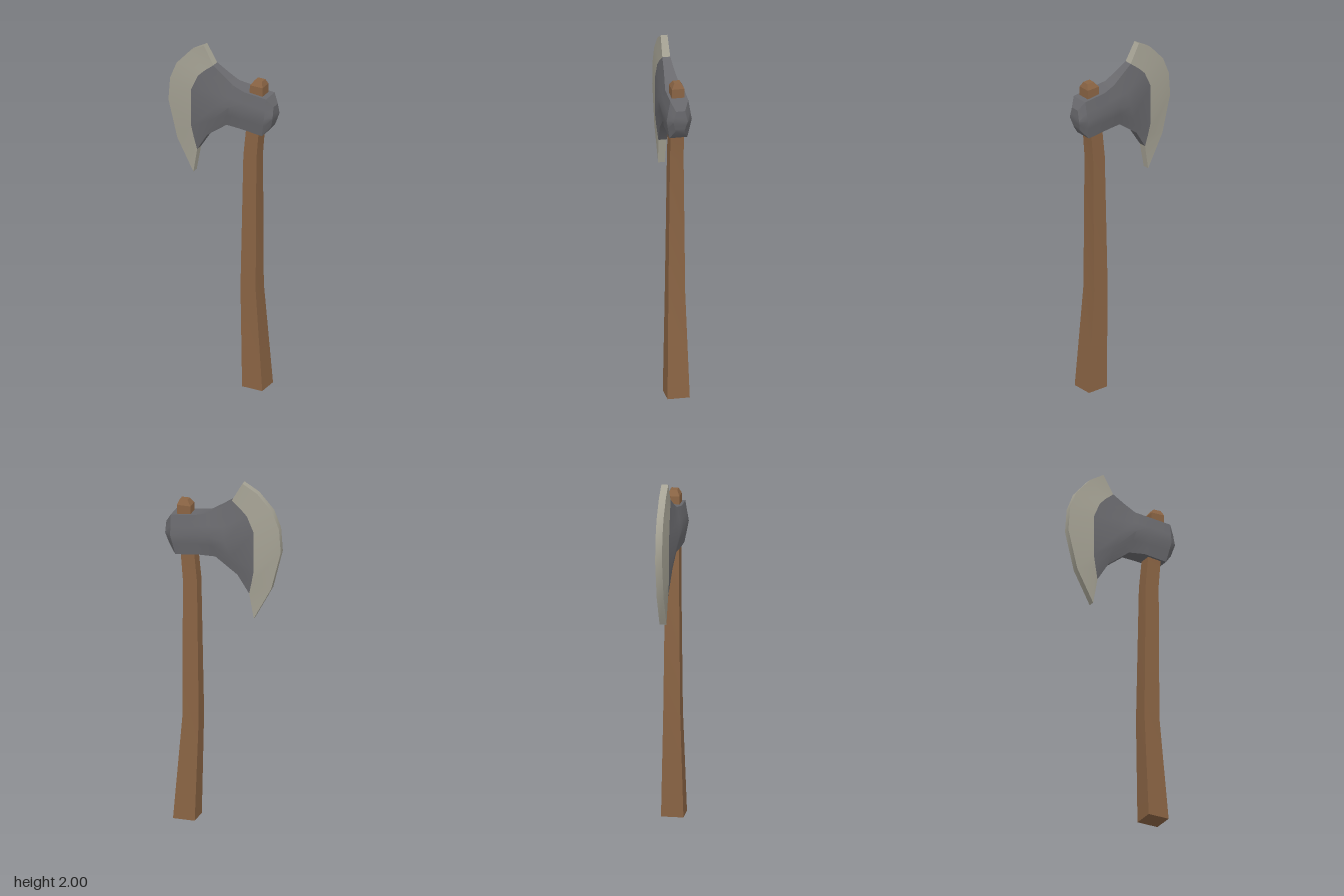
import * as THREE from 'three';
import { toCreasedNormals } from 'three/addons/utils/BufferGeometryUtils.js';

const wood = new THREE.MeshStandardMaterial({ name: 'wood', color: 0x8a6444 });
const steel = new THREE.MeshStandardMaterial({ name: 'darkSteel', color: 0x69696d });
const edge = new THREE.MeshStandardMaterial({ name: 'sharpenedSteel', color: 0xa5a294 });

// Skin a row of rings; each end may be closed with a strip joining its front and back
function loft(rings, capStart, capEnd, crease) {
  const n = rings[0].length, last = (rings.length - 1) * n, index = [];
  const quad = (a, b, c, d) => index.push(a, b, c, a, c, d);
  for (let r = 0; r < last; r += n) {
    for (let i = 0; i < n; i++) {
      const j = (i + 1) % n;
      quad(r + i, r + n + i, r + n + j, r + j);
    }
  }
  for (let i = 0; i < n / 2 - 1; i++) {
    if (capStart) quad(i, i + 1, n - 2 - i, n - 1 - i);
    if (capEnd) quad(last + i, last + n - 1 - i, last + n - 2 - i, last + i + 1);
  }
  const g = new THREE.BufferGeometry();
  g.setAttribute('position', new THREE.Float32BufferAttribute(rings.flat(2), 3));
  g.setIndex(index);
  return toCreasedNormals(g, crease);
}

// Mirror a top-to-bottom list of [x, y, z] into a closed ring
const mirrorRing = (pts) => [...pts, ...pts.map(([x, y, z]) => [x, y, -z]).reverse()];

function part(name, geometry, material) {
  const mesh = new THREE.Mesh(geometry, material);
  mesh.name = name;
  return mesh;
}

export function createModel() {
  const group = new THREE.Group();
  group.name = 'axe';

  // Handle: height, left x, right x, half depth
  const handle = [
    [0, 0.15, 0.275, 0.062], [0.6, 0.132, 0.226, 0.047], [1.4, 0.145, 0.226, 0.038],
    [1.57, 0.162, 0.24, 0.037], [1.78, 0.182, 0.262, 0.036],
    [1.835, 0.184, 0.262, 0.035], [1.865, 0.206, 0.25, 0.019],
  ].map(([y, x0, x1, z]) => mirrorRing([[x1, y, z], [x0, y, z]]));
  group.add(part('handle', loft(handle, true, true, 0.1), wood));

  // Head: top x, y, bottom x, y, half depth at the rims, half depth at the middle
  const rows = [0, 0.14, 0.28, 0.5, 0.72, 0.86, 1];
  const head = [
    [0.325, 1.73, 0.31, 1.605, 0.025, 0.04], [0.292, 1.78, 0.266, 1.55, 0.05, 0.07],
    [0.16, 1.793, 0.13, 1.565, 0.052, 0.07], [0.08, 1.81, 0.04, 1.56, 0.037, 0.067],
    [0.02, 1.848, -0.085, 1.465, 0.029, 0.06],
  ].map(([tx, ty, bx, by, rim, mid]) => mirrorRing(rows.map((t) => {
    const bulge = 1 - Math.abs(2 * t - 1);
    return [tx + (bx - tx) * t + 0.01 * bulge, ty + (by - ty) * t, rim + (mid - rim) * bulge];
  })));

  // Seam where the dark head meets the sharpened edge
  const seam = mirrorRing([
    [-0.05, 1.895, 0.022], [-0.1, 1.855, 0.028], [-0.14, 1.815, 0.032], [-0.18, 1.725, 0.035],
    [-0.18, 1.5, 0.035], [-0.166, 1.43, 0.03], [-0.15, 1.36, 0.023],
  ]);
  group.add(part('head', loft([...head, seam], true, false, 0.5), steel));

  // Curved cutting edge
  const rim = mirrorRing([
    [-0.11, 2], [-0.195, 1.95], [-0.28, 1.855], [-0.32, 1.755],
    [-0.33, 1.62], [-0.275, 1.4], [-0.175, 1.215],
  ].map(([x, y]) => [x, y, 0.019]));
  group.add(part('cuttingEdge', loft([seam, rim], false, true, 0.5), edge));

  return group;
}
